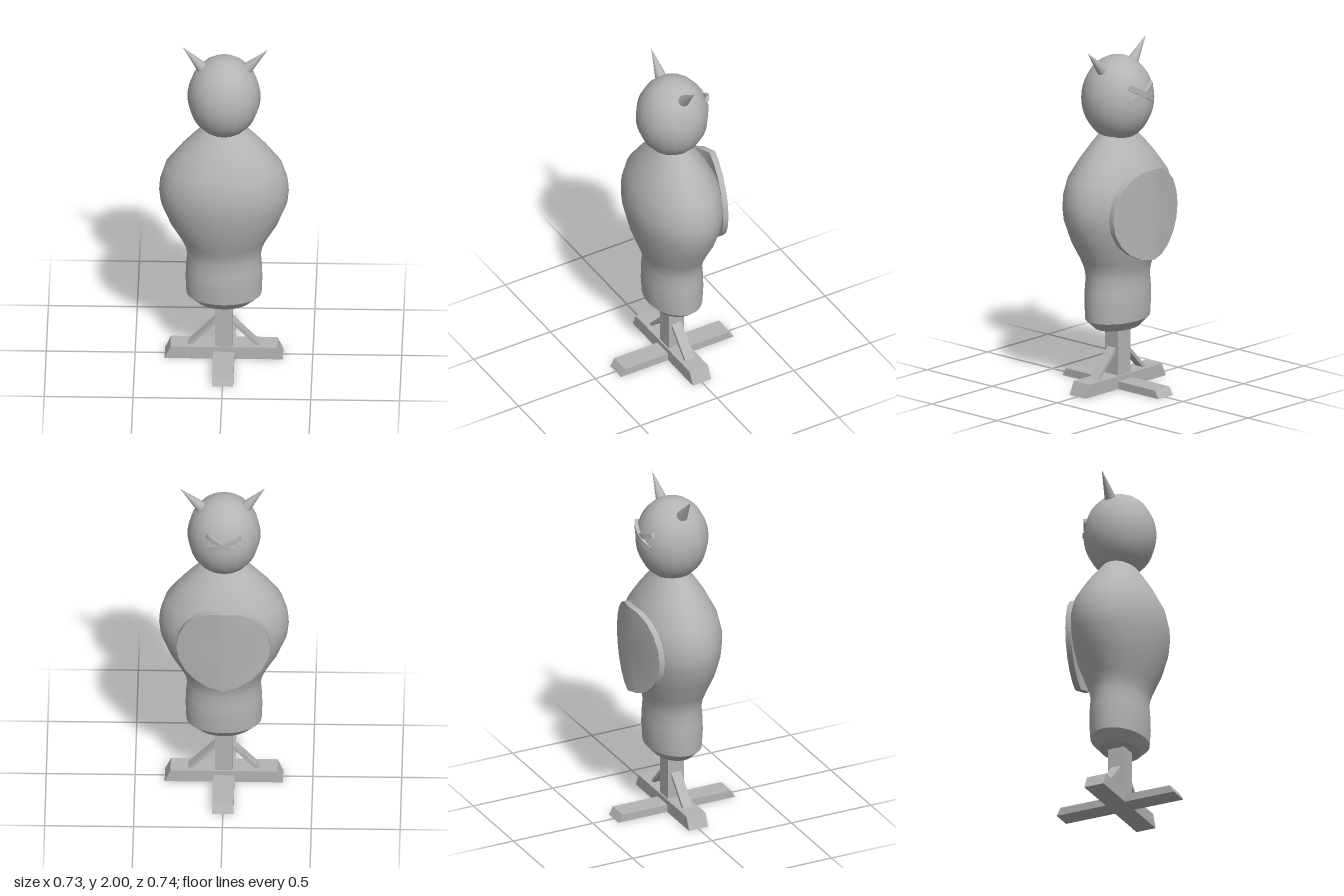
import * as THREE from 'three';
import { toCreasedNormals } from 'three/addons/utils/BufferGeometryUtils.js';

const grey = new THREE.MeshStandardMaterial({ color: 0xb4b4b4 });
grey.name = 'grey';

export function createModel() {
  const model = new THREE.Group();
  model.name = 'trainingDummy';

  function add(name, geometry, x = 0, y = 0, z = 0) {
    const mesh = new THREE.Mesh(geometry, grey);
    mesh.name = name;
    mesh.position.set(x, y, z);
    model.add(mesh);
    return mesh;
  }

  // Move every vertex of a geometry by a rule
  function warp(geometry, rule) {
    const p = geometry.attributes.position;
    const v = new THREE.Vector3();
    for (let i = 0; i < p.count; i++) {
      rule(v.fromBufferAttribute(p, i), i);
      p.setXYZ(i, v.x, v.y, v.z);
    }
    return toCreasedNormals(geometry, 0.6);
  }

  // Stuffed body: oval rings given as [y, half width, half depth]
  const rings = [
    [0.35, 0, 0], [0.35, 0.15, 0.106], [0.405, 0.212, 0.154], [0.5, 0.216, 0.161],
    [0.58, 0.214, 0.159], [0.655, 0.208, 0.153], [0.71, 0.218, 0.164], [0.76, 0.24, 0.183],
    [0.865, 0.302, 0.22], [1.0, 0.357, 0.25], [1.07, 0.365, 0.257], [1.14, 0.36, 0.256],
    [1.235, 0.33, 0.235], [1.34, 0.25, 0.182], [1.41, 0.188, 0.138], [1.48, 0.12, 0.09],
    [1.5, 0, 0],
  ];
  const lathe = new THREE.LatheGeometry(rings.map(([y, r]) => new THREE.Vector2(r, y)), 32);
  add('body', warp(lathe, (v, i) => {
    const [, rx, rz] = rings[i % rings.length];
    if (rx > 0) v.z *= rz / rx;
  }));

  // Egg-shaped head
  const head = add('head', new THREE.SphereGeometry(1, 16, 20), 0, 1.685, 0);
  head.scale.set(0.206, 0.245, 0.206);

  // Horns, slightly uneven
  const up = new THREE.Vector3(0, 1, 0);
  function horn(name, base, tip) {
    const axis = tip.clone().sub(base);
    const mesh = add(name, new THREE.ConeGeometry(0.035, axis.length(), 16));
    mesh.position.copy(base).addScaledVector(axis, 0.5);
    mesh.quaternion.setFromUnitVectors(up, axis.normalize());
  }
  horn('leftHorn', new THREE.Vector3(0.12, 1.857, 0), new THREE.Vector3(0.248, 1.99, 0));
  horn('rightHorn', new THREE.Vector3(-0.117, 1.862, 0), new THREE.Vector3(-0.232, 2.0, 0));

  // Crossed patches wrapped over the back of the head
  for (const [name, tilt, out] of [['patchRising', 0.5, 0.005], ['patchFalling', -0.36, 0]]) {
    const strip = new THREE.BoxGeometry(0.21, 0.03, 0.022, 6, 1, 1);
    strip.rotateZ(tilt);
    add(name, warp(strip, (v) => { v.z += 3.6 * v.x * v.x; }), 0, 1.738, -0.202 - out);
  }

  // Round shield on the back, folded along its vertical centre line
  const disc = new THREE.CylinderGeometry(0.265, 0.265, 0.035, 20).rotateX(Math.PI / 2);
  add('shield', warp(disc, (v) => { v.z += 0.25 * Math.abs(v.x); }), 0, 1.05, -0.262);

  // Stand: post and two crossed feet with sloping ends
  add('post', new THREE.BoxGeometry(0.1, 0.4, 0.1), 0, 0.2, 0);
  function foot(name, bottom, top, height, turn) {
    const shape = new THREE.Shape([
      new THREE.Vector2(-bottom, 0), new THREE.Vector2(bottom, 0),
      new THREE.Vector2(top, height), new THREE.Vector2(-top, height),
    ]);
    const g = new THREE.ExtrudeGeometry(shape, { depth: 0.12, bevelEnabled: false });
    g.translate(0, 0, -0.06);
    add(name, g).rotation.y = turn;
  }
  foot('sideFoot', 0.333, 0.3, 0.075, 0);
  foot('frontBackFoot', 0.368, 0.342, 0.045, Math.PI / 2);

  // Diagonal braces between post and side foot
  const braceShape = new THREE.Shape([
    new THREE.Vector2(0.045, 0.212), new THREE.Vector2(0.18, 0.07),
    new THREE.Vector2(0.206, 0.07), new THREE.Vector2(0.045, 0.24),
  ]);
  for (const [name, turn] of [['leftBrace', 0], ['rightBrace', Math.PI]]) {
    const g = new THREE.ExtrudeGeometry(braceShape, { depth: 0.06, bevelEnabled: false });
    g.translate(0, 0, -0.03);
    add(name, g).rotation.y = turn;
  }

  return model;
}
